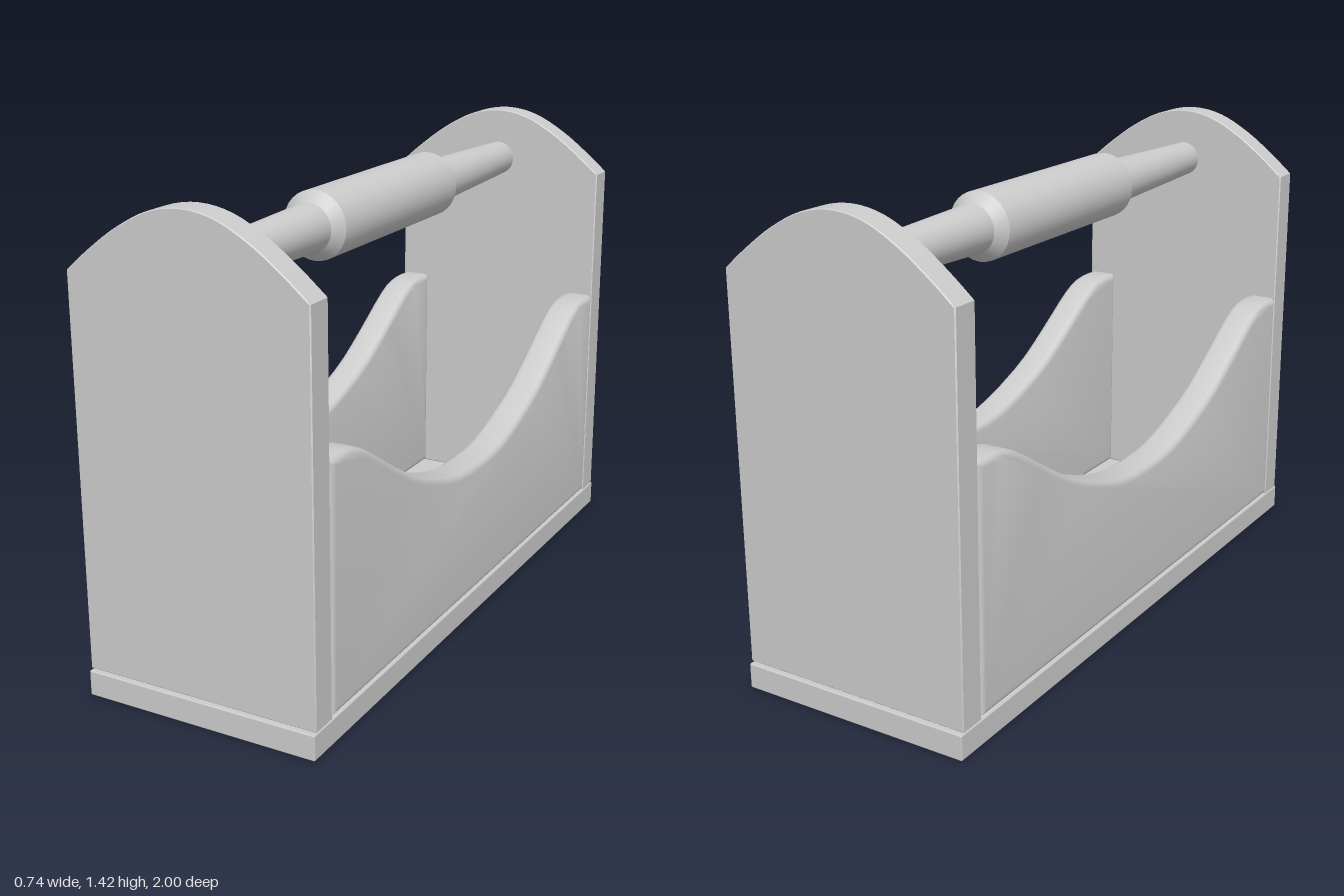
import * as THREE from 'three';
import { RoundedBoxGeometry } from 'three/addons/geometries/RoundedBoxGeometry.js';
import { toCreasedNormals } from 'three/addons/utils/BufferGeometryUtils.js';

const material = new THREE.MeshStandardMaterial({ color: 0xcccccc });

function addMesh(group, name, geometry) {
  const mesh = new THREE.Mesh(geometry, material);
  mesh.name = name;
  group.add(mesh);
  return mesh;
}

// Board with a flat bottom and a mirrored top outline, given from the centre outwards,
// centred on its thickness and with rounded edges
function board(half, bottom, thickness, bevel, segments) {
  const right = half.map(([x, y]) => new THREE.Vector2(x, y));
  const left = half.slice(1).reverse().map(([x, y]) => new THREE.Vector2(-x, y));
  const w = half[half.length - 1][0];
  const top = new THREE.SplineCurve([...left, ...right]).getPoints(32);
  const shape = new THREE.Shape([
    new THREE.Vector2(-w, bottom), new THREE.Vector2(w, bottom), ...top.reverse(),
  ]);
  const geometry = new THREE.ExtrudeGeometry(shape, {
    depth: thickness - 2 * bevel, bevelEnabled: true, bevelSize: bevel,
    bevelThickness: bevel, bevelOffset: -bevel, bevelSegments: segments,
  });
  geometry.translate(0, 0, -(thickness - 2 * bevel) / 2);
  return toCreasedNormals(geometry, 0.6);
}

export function createModel() {
  const group = new THREE.Group();
  group.name = 'toolCaddy';

  // Base board
  const base = new RoundedBoxGeometry(0.73, 0.076, 2, 2, 0.004);
  addMesh(group, 'base', base).position.y = 0.038;

  // Arched end panels
  const arch = [[0, 1.423], [0.1, 1.406], [0.2, 1.355], [0.29, 1.29], [0.365, 1.227]];
  const endGeometry = board(arch, 0.08, 0.084, 0.003, 1);

  // Scooped side boards with rounded edges
  const scoop = [[0, 0.495], [0.13, 0.502], [0.25, 0.532], [0.4, 0.587], [0.5, 0.64],
    [0.6, 0.702], [0.7, 0.765], [0.77, 0.797], [0.84, 0.808], [0.908, 0.805]];
  const sideGeometry = board(scoop, 0.08, 0.104, 0.022, 4);
  sideGeometry.rotateY(Math.PI / 2);

  for (const s of [1, -1]) {
    addMesh(group, s > 0 ? 'frontPanel' : 'backPanel', endGeometry).position.z = s * 0.949;
    addMesh(group, s > 0 ? 'leftSide' : 'rightSide', sideGeometry).position.x = s * 0.316;
  }

  // Turned handle with a thicker grip
  const profile = [[0.055, -0.92], [0.072, -0.385], [0.102, -0.352],
    [0.102, 0.352], [0.072, 0.385], [0.055, 0.92]].map(([r, y]) => new THREE.Vector2(r, y));
  const handle = toCreasedNormals(new THREE.LatheGeometry(profile, 32), 0.5);
  handle.rotateX(Math.PI / 2);
  addMesh(group, 'handle', handle).position.y = 1.257;

  return group;
}
